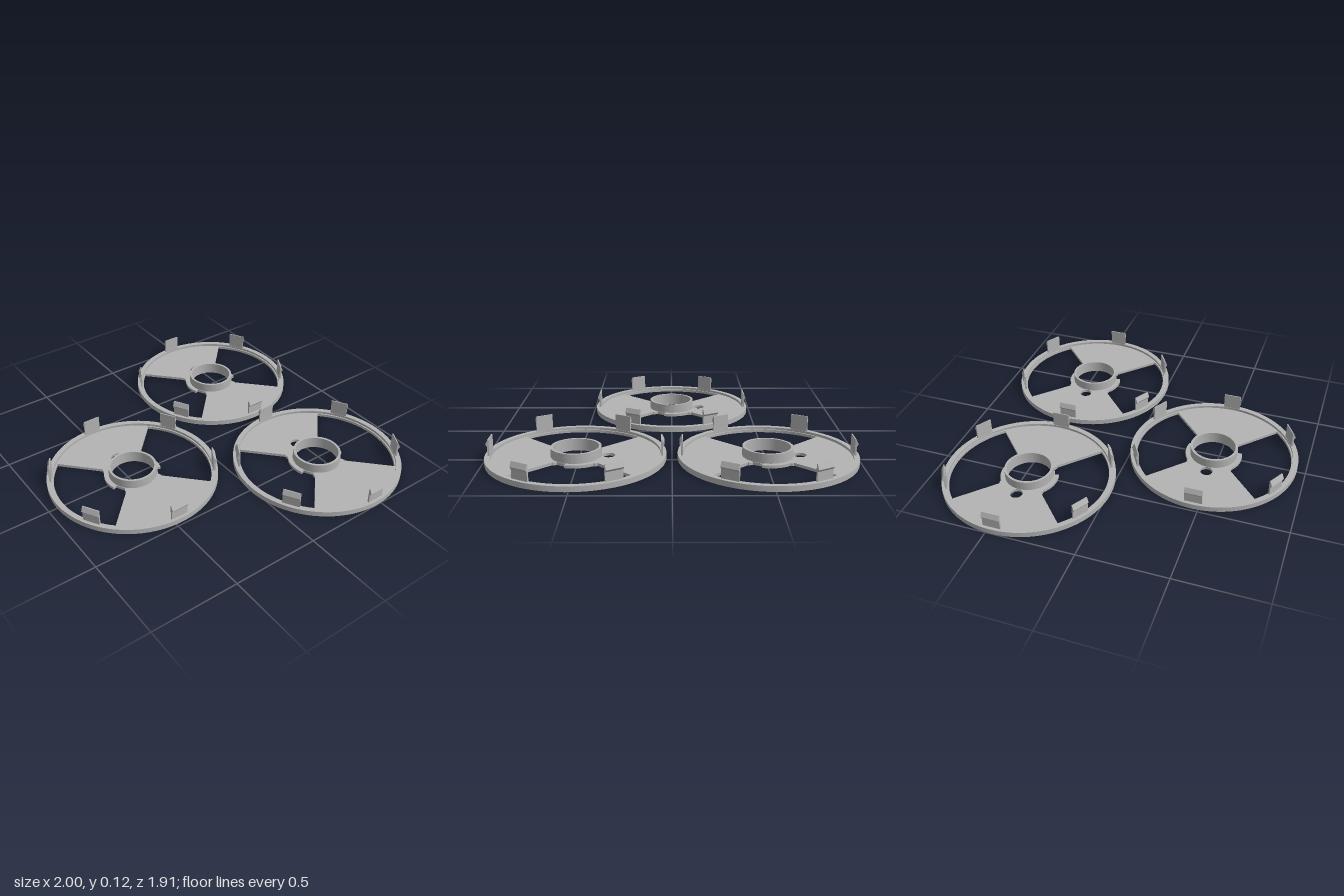
import * as THREE from 'three';
import { toCreasedNormals } from 'three/addons/utils/BufferGeometryUtils.js';

const R = 0.485, RIM_IN = 0.455, WINDOW_R = 0.447;
const HUB_OUT = 0.137, HUB_IN = 0.123, FLANGE_R = 0.164;
const PLATE_H = 0.016, RIM_H = 0.03, HUB_H = 0.068;

const grey = new THREE.MeshStandardMaterial({ color: 0xb3b3b3 });
grey.name = 'grey plastic';

const rad = THREE.MathUtils.degToRad;

function circle(r, x = 0, y = 0) {
  return new THREE.Path().absarc(x, y, r, 0, Math.PI * 2, true);
}

// Extrudes a plan shape upwards from y = 0
function slab(shape, height) {
  const g = new THREE.ExtrudeGeometry(shape, { depth: height, bevelEnabled: false, curveSegments: 64 });
  g.rotateX(-Math.PI / 2);
  return toCreasedNormals(g, 0.5);
}

function ring(outer, inner, height) {
  const s = new THREE.Shape().absarc(0, 0, outer, 0, Math.PI * 2, false);
  s.holes.push(circle(inner));
  return slab(s, height);
}

// Open quarter between the two webs; its inner edge steps around the hub flange
function windowPath(side) {
  const pts = [];
  const arc = (r, a, b, n) => {
    for (let i = 0; i <= n; i++) {
      const t = rad(a + (b - a) * i / n);
      pts.push(new THREE.Vector2(r * Math.cos(t), side * r * Math.sin(t)));
    }
  };
  arc(WINDOW_R, 44, 136, 40);
  arc(FLANGE_R + 0.012, 135, 132, 1);
  arc(FLANGE_R, 128, 73, 16);
  arc(HUB_OUT + 0.004, 73, 51, 8);
  arc(FLANGE_R, 47, 45, 1);
  return new THREE.Path(pts);
}

function plateGeometry() {
  const s = new THREE.Shape().absarc(0, 0, RIM_IN + 0.01, 0, Math.PI * 2, false);
  s.holes.push(circle(HUB_IN), circle(0.035, -0.174, 0), windowPath(1), windowPath(-1));
  return slab(s, PLATE_H);
}

// Snap clip: upright tongue with an outward barb, profile in radius and height
function clipGeometry() {
  const w = 0.1;
  const s = new THREE.Shape([
    [0.456, 0.004], [0.466, 0.004], [0.466, 0.08], [0.475, 0.092],
    [0.462, 0.12], [0.456, 0.12],
  ].map(([x, y]) => new THREE.Vector2(x, y)));
  const g = new THREE.ExtrudeGeometry(s, { depth: w, bevelEnabled: false });
  return g.translate(0, 0, -w / 2);
}

export function createModel() {
  const model = new THREE.Group();
  model.name = 'discSet';
  const parts = {
    webPlate: plateGeometry(),
    rim: ring(R, RIM_IN, RIM_H),
    hub: ring(HUB_OUT, HUB_IN, HUB_H),
  };
  const clip = clipGeometry();

  // Three identical discs laid out in a triangle
  [[-0.515, -0.47], [0.515, -0.47], [0, 0.466]].forEach(([x, z], n) => {
    const disc = new THREE.Group();
    disc.name = `disc${n + 1}`;
    for (const [name, geometry] of Object.entries(parts)) {
      const mesh = new THREE.Mesh(geometry, grey);
      mesh.name = name;
      disc.add(mesh);
    }
    for (let i = 0; i < 6; i++) {
      const mesh = new THREE.Mesh(clip, grey);
      mesh.name = `clip${i + 1}`;
      mesh.rotation.y = i * Math.PI / 3;
      disc.add(mesh);
    }
    disc.position.set(x, 0, z);
    model.add(disc);
  });
  return model;
}
